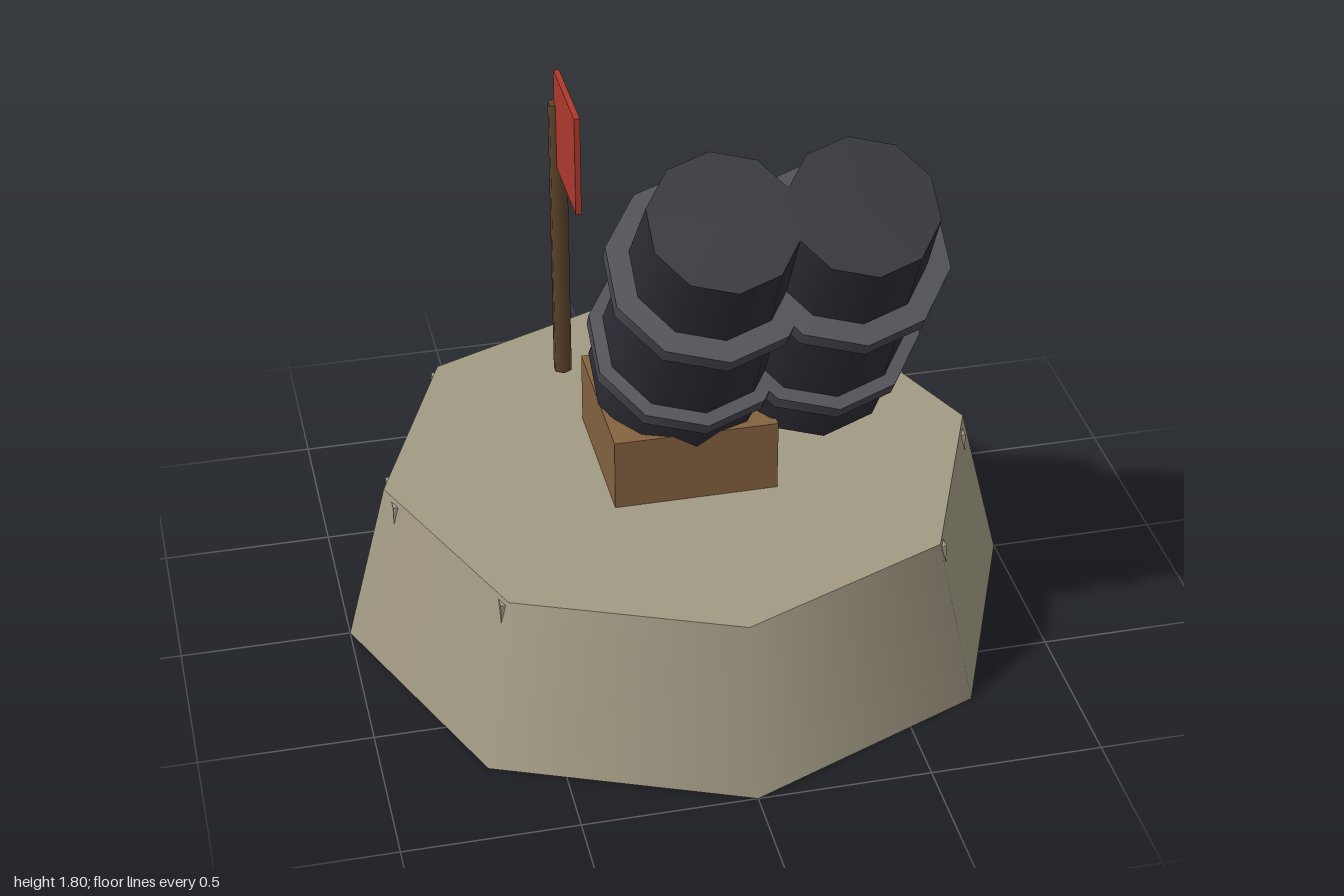
import * as THREE from 'three';

function mat(name, color) {
  const m = new THREE.MeshStandardMaterial({ color });
  m.name = name;
  return m;
}

export function createModel() {
  const stone = mat('stone', 0xa29a84);
  const wood = mat('crate wood', 0x84623f);
  const darkWood = mat('pole wood', 0x5a4129);
  const iron = mat('dark iron', 0x2d2d36);
  const band = mat('band iron', 0x4b4b53);
  const red = mat('flag red', 0xb0392c);

  const model = new THREE.Group();
  model.name = 'mortarEmplacement';

  const add = (parent, name, geometry, material, x, y, z) => {
    const mesh = new THREE.Mesh(geometry, material);
    mesh.name = name;
    mesh.position.set(x, y, z);
    parent.add(mesh);
    return mesh;
  };

  // Tapered eight-sided plinth
  add(model, 'plinth', new THREE.CylinderGeometry(0.875, 1, 0.5, 8), stone, 0, 0.25, 0);

  // Blocks set into the rim, only their outer corners break the slope
  for (let i = 0; i < 8; i++) {
    const a = (i * Math.PI) / 4;
    add(model, 'rimBlock', new THREE.BoxGeometry(0.22, 0.12, 0.16), stone,
      Math.cos(a) * 0.75, 0.425, Math.sin(a) * 0.75);
  }

  // Wooden support block
  add(model, 'supportBlock', new THREE.BoxGeometry(0.48, 0.24, 0.48), wood, 0, 0.6, 0);

  // Two tilted barrels, each with two bands
  for (const x of [0, 0.38]) {
    const barrel = new THREE.Group();
    barrel.name = 'barrel';
    barrel.position.set(x, 1.19, 0.274);
    barrel.rotation.x = 0.6;
    model.add(barrel);
    add(barrel, 'tube', new THREE.CylinderGeometry(0.21, 0.265, 0.96, 10), iron, 0, 0, 0);
    for (const y of [-0.253, 0.188]) {
      add(barrel, 'band', new THREE.CylinderGeometry(0.29, 0.29, 0.058, 10), band, 0, y, 0);
    }
  }

  // Flag on its pole
  add(model, 'flagPole', new THREE.CylinderGeometry(0.027, 0.027, 0.86, 6), darkWood, -0.34, 1.27, 0);
  add(model, 'flag', new THREE.BoxGeometry(0.016, 0.29, 0.29), red, -0.34, 1.655, 0.145);

  return model;
}
